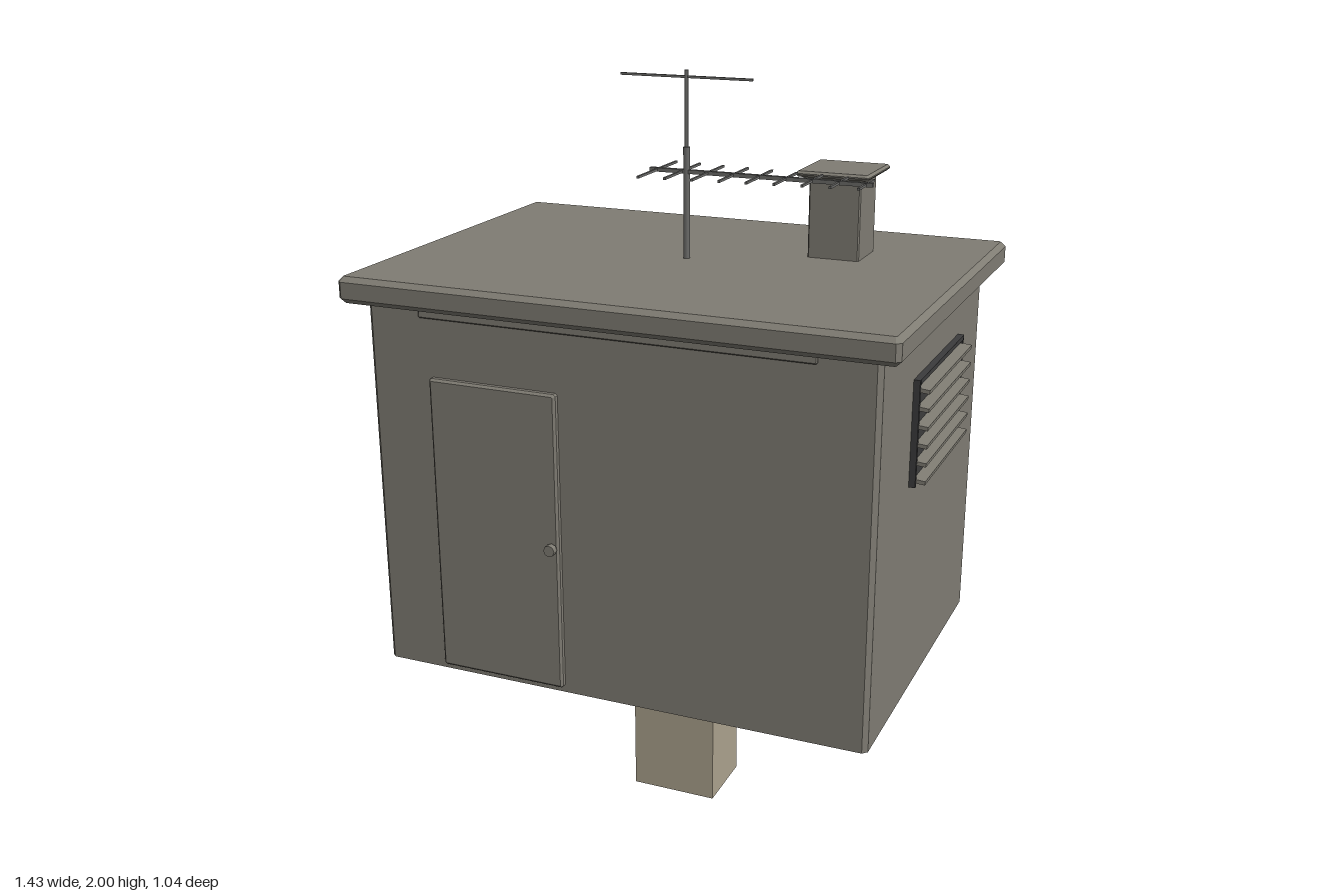
import * as THREE from 'three';

const mat = (name, color) => {
  const m = new THREE.MeshStandardMaterial({ color });
  m.name = name;
  return m;
};

export function createModel() {
  const grey = mat('weathered grey', 0x807d74);
  const wood = mat('pale post', 0xada38e);
  wood.side = THREE.DoubleSide;
  const dark = mat('vent dark', 0x3c3c3d);
  const metal = mat('aerial metal', 0x6c6c6a);
  const model = new THREE.Group();

  const add = (name, geo, material, x = 0, y = 0, z = 0, parent = model) => {
    const m = new THREE.Mesh(geo, material);
    m.name = name;
    m.position.set(x, y, z);
    parent.add(m);
    return m;
  };
  const box = (name, material, w, h, d, x, y, z, parent) =>
    add(name, new THREE.BoxGeometry(w, h, d), material, x, y, z, parent);

  // Rectangle with clipped corners
  const clipped = (w, d, c, Type = THREE.Shape) => {
    const a = w / 2, b = d / 2;
    return new Type([[-a + c, -b], [a - c, -b], [a, -b + c], [a, b - c],
      [a - c, b], [-a + c, b], [-a, b - c], [-a, -b + c]].map(p => new THREE.Vector2(...p)));
  };
  // Upright slab with chamfered edges, centred on its own middle
  const slab = (w, h, d, c) => {
    const g = new THREE.ExtrudeGeometry(clipped(w - 2 * c, d - 2 * c, c * 0.3), {
      depth: h - 2 * c, bevelEnabled: true, bevelThickness: c, bevelSize: c, bevelSegments: 1,
    });
    g.rotateX(-Math.PI / 2);
    return g.center();
  };
  // Open four-sided shell standing on y = 0
  const shell = (w, h, d, t, c) => {
    const ring = clipped(w, d, c);
    ring.holes.push(clipped(w - 2 * t, d - 2 * t, 0.002, THREE.Path));
    const g = new THREE.ExtrudeGeometry(ring, { depth: h, bevelEnabled: false });
    return g.rotateX(-Math.PI / 2);
  };

  // Supporting post: four planks, open below, running up into the hollow base
  for (const s of [-1, 1]) {
    const wide = add('postSide', new THREE.PlaneGeometry(0.237, 0.67), wood, 0, 0.335, s * 0.093);
    const narrow = add('postSide', new THREE.PlaneGeometry(0.186, 0.67), wood, s * 0.1185, 0.335, 0);
    wide.rotation.y = s > 0 ? 0 : Math.PI;
    narrow.rotation.y = s * Math.PI / 2;
  }

  // Hollow walls, open below, with an inner lining above the skirt
  add('walls', shell(1.33, 0.989, 0.94, 0.008, 0.012), grey, 0, 0.473, 0);
  add('lining', shell(1.316, 0.79, 0.926, 0.004, 0.002), grey, 0, 0.67, 0);

  // Framing around the top of the post
  const frame = new THREE.Group();
  frame.name = 'underFrame';
  model.add(frame);
  for (const s of [-1, 1]) {
    box('longBeam', grey, 0.66, 0.1, 0.025, -0.02, 0.62, s * 0.17, frame);
    box('crossBeam', grey, 0.025, 0.09, 0.5, s * 0.2, 0.625, 0, frame);
    box('innerRail', grey, 0.46, 0.02, 0.03, 0, 0.56, s * 0.12, frame);
    box('endPlate', grey, 0.1, 0.01, 0.32, s * 0.26, 0.655, 0, frame);
  }
  box('lowerBracket', grey, 0.27, 0.024, 0.02, 0.255, 0.463, -0.015, frame);

  // Roof and the battens beneath it
  add('roof', slab(1.434, 0.068, 1.043, 0.013), grey, 0, 1.491, 0);
  add('frontBatten', slab(1.03, 0.025, 0.03, 0.003), grey, 0, 1.443, 0.463);
  add('backBatten', slab(1.03, 0.03, 0.03, 0.004), grey, 0, 1.355, -0.466);

  // Door with a stepped knob
  const door = slab(0.35, 0.03, 0.79, 0.006);
  door.rotateX(Math.PI / 2);
  add('door', door, grey, -0.315, 0.885, 0.472);
  for (const [r, z] of [[0.009, 0.494], [0.015, 0.503]]) {
    const knob = new THREE.CylinderGeometry(r, r, 0.016, 8);
    knob.rotateX(Math.PI / 2);
    add('doorKnob', knob, grey, -0.155, 0.88, z);
  }

  // Louvred vent on the left wall
  const vent = new THREE.Group();
  vent.name = 'vent';
  model.add(vent);
  box('ventBack', dark, 0.012, 0.272, 0.432, 0.669, 1.198, -0.018, vent);
  for (const s of [-1, 1]) box('ventSide', dark, 0.018, 0.272, 0.01, 0.672, 1.198, -0.018 + s * 0.211, vent);
  for (let i = 0; i < 6; i++) {
    const slat = box('ventSlat', grey, 0.038, 0.01, 0.42, 0.685, 1.077 + i * 0.046, -0.018, vent);
    slat.rotation.z = -0.1;
  }
  box('ventTop', dark, 0.02, 0.012, 0.42, 0.672, 1.328, -0.018, vent);

  // Chimney with a stepped cap
  add('chimney', slab(0.137, 0.215, 0.137, 0.004), grey, 0.352, 1.627, -0.198);
  add('chimneyCapStep', slab(0.165, 0.01, 0.165, 0.004), grey, 0.352, 1.735, -0.198);
  add('chimneyCap', slab(0.194, 0.015, 0.194, 0.006), grey, 0.352, 1.743, -0.198);

  // Aerial: stepped mast, top rod, boom with shrinking elements
  const aerial = new THREE.Group();
  aerial.name = 'aerial';
  model.add(aerial);
  add('mast', new THREE.CylinderGeometry(0.009, 0.009, 0.3, 8), metal, 0, 1.66, 0, aerial);
  add('mastTip', new THREE.CylinderGeometry(0.005, 0.005, 0.2, 6), metal, 0, 1.9, 0, aerial);
  box('topRod', metal, 0.355, 0.006, 0.006, -0.002, 1.983, 0, aerial);
  box('boom', metal, 0.59, 0.01, 0.012, 0.195, 1.748, 0, aerial);
  for (let i = 0; i < 9; i++) {
    box('element', metal, 0.006, 0.006, 0.245 - i * 0.0145, -0.08 + i * 0.069, 1.748, 0, aerial);
  }

  return model;
}
